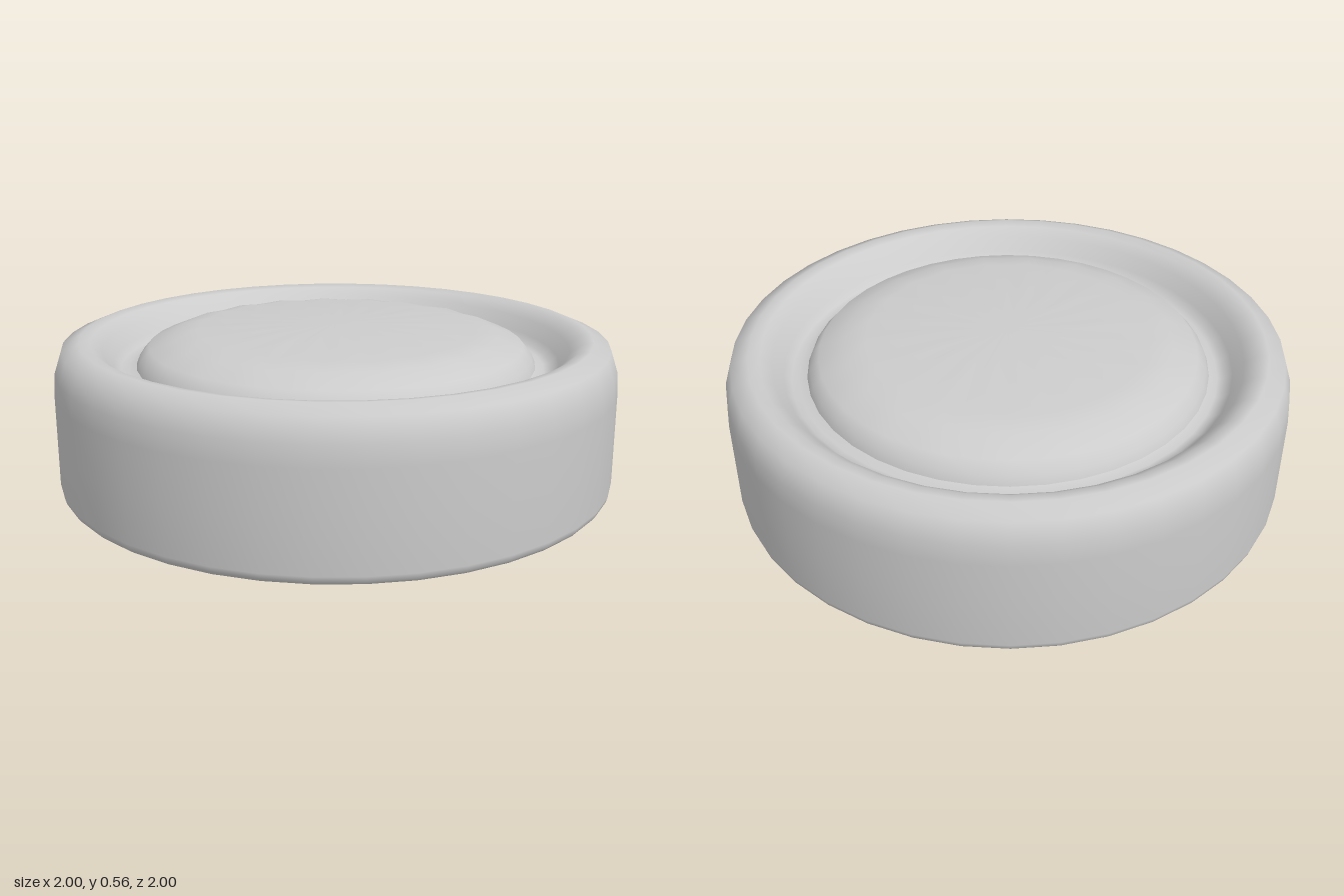
import * as THREE from 'three';
import { mergeVertices } from 'three/addons/utils/BufferGeometryUtils.js';

const SEGMENTS = 40;

// Revolves a profile; `ripple` lowers every second vertex inside the given radii.
function turned(name, profile, material, ripple) {
  const points = profile.map(([r, y]) => new THREE.Vector2(r, y));
  let geo = new THREE.LatheGeometry(points, SEGMENTS);
  if (ripple) {
    const pos = geo.attributes.position;
    for (let i = 0; i < pos.count; i++) {
      const r = Math.hypot(pos.getX(i), pos.getZ(i));
      const column = Math.floor(i / points.length);
      if (column % 2 && r > ripple.from && r < ripple.to) pos.setY(i, pos.getY(i) - ripple.depth);
    }
  }
  // Weld the seam so the shading is smooth all the way round
  geo.deleteAttribute('uv');
  geo.deleteAttribute('normal');
  geo = mergeVertices(geo, 1e-4);
  geo.computeVertexNormals();
  const mesh = new THREE.Mesh(geo, material);
  mesh.name = name;
  return mesh;
}

export function createModel() {
  const group = new THREE.Group();
  group.name = 'jarLid';
  const metal = new THREE.MeshStandardMaterial({ color: 0xcccccc, side: THREE.DoubleSide });

  // Thin side wall, rounded shoulder and the groove inside the rim
  group.add(turned('screwBand', [
    [0.985, 0], [0.995, 0.012], [1, 0.03], [1, 0.2], [1, 0.36], [0.995, 0.43],
    [0.97, 0.505], [0.91, 0.53], [0.87, 0.522], [0.83, 0.492], [0.795, 0.445],
    [0.77, 0.422], [0.745, 0.416], [0.715, 0.425],
  ], metal));

  // Slightly domed centre with faint radial creases
  group.add(turned('domedDisc', [
    [0.715, 0.425], [0.703, 0.455], [0.67, 0.492], [0.58, 0.53], [0.5, 0.545],
    [0.25, 0.553], [0, 0.56],
  ], metal, { from: 0.45, to: 0.6, depth: 0.006 }));

  return group;
}
